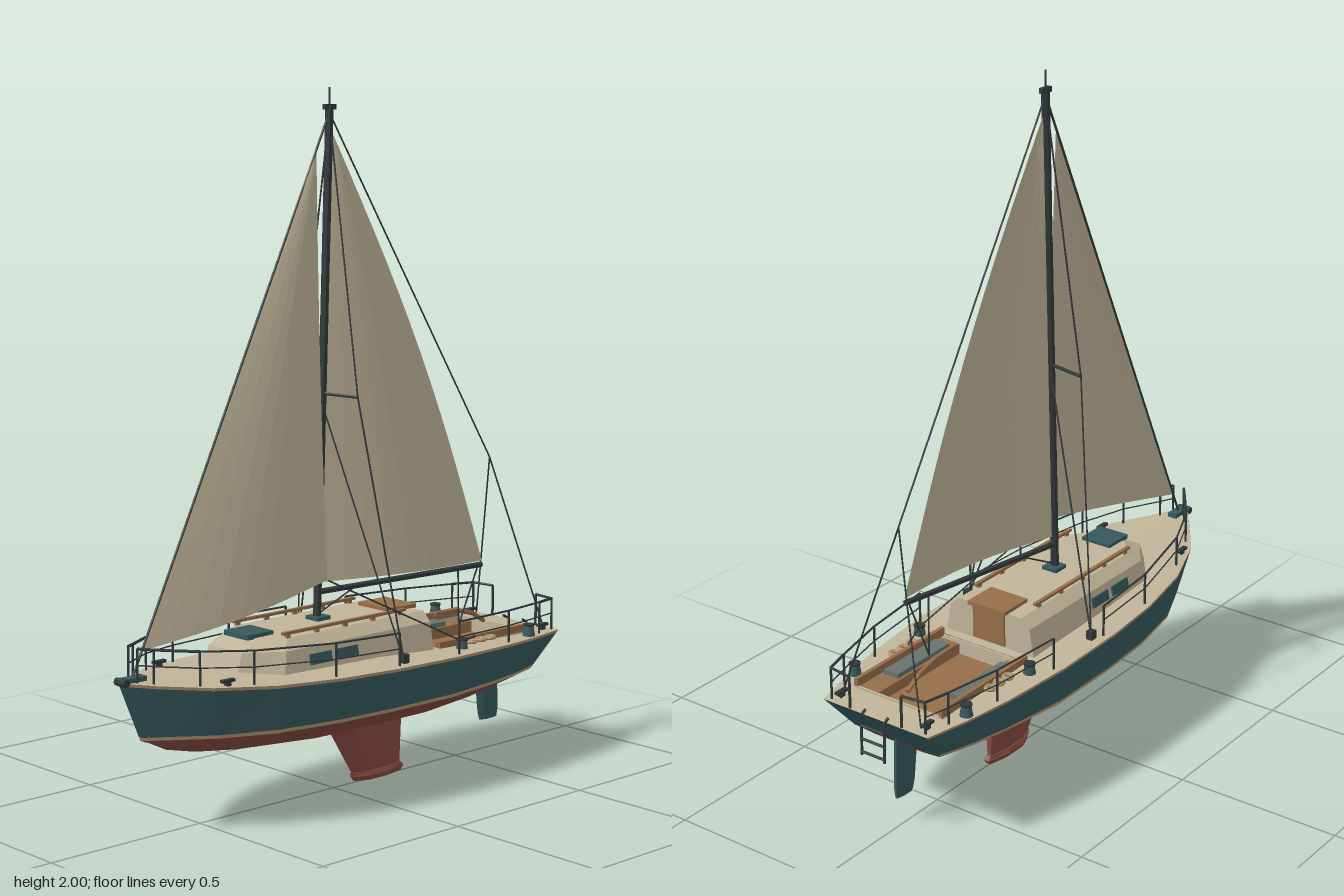
import * as THREE from 'three';

const mat = (name, color) =>
  new THREE.MeshStandardMaterial({ name, color, flatShading: true, side: THREE.DoubleSide });
const M = {
  teal: mat('teal paint', 0x35595d),
  red: mat('red bottom paint', 0x85493f),
  cream: mat('cream deck', 0xc0b498),
  sail: mat('sail cloth', 0xc0b498),
  wood: mat('teak', 0x966d49),
  trim: mat('trim stripe', 0xb09070),
  metal: mat('dark metal', 0x30383a),
  cushion: mat('cushion', 0x64736c),
};
const V = (x, y, z) => new THREE.Vector3(x, y, z);

// Stations, bow to stern: deck z, half width, height, then waterline z, half width, and keel height
const STATIONS = [
  [0.77, 0.006, 0.44, 0.70, 0.004, 0.262], [0.69, 0.065, 0.43, 0.635, 0.05, 0.23],
  [0.57, 0.15, 0.42, 0.53, 0.125, 0.205], [0.4, 0.212, 0.409, 0.38, 0.19, 0.184],
  [0.2, 0.247, 0.402, 0.19, 0.225, 0.17], [0, 0.26, 0.397, 0, 0.237, 0.17],
  [-0.25, 0.26, 0.393, -0.24, 0.238, 0.17], [-0.48, 0.24, 0.388, -0.44, 0.21, 0.184],
  [-0.62, 0.215, 0.384, -0.56, 0.185, 0.215], [-0.76, 0.18, 0.38, -0.67, 0.15, 0.25],
];
// Deck half width (k = 1) or height (k = 2) at z
function deckAt(z, k) {
  let i = 0;
  while (i < STATIONS.length - 2 && z < STATIONS[i + 1][0]) i++;
  const a = STATIONS[i], b = STATIONS[i + 1];
  return a[k] + (b[k] - a[k]) * THREE.MathUtils.clamp((z - a[0]) / (b[0] - a[0]), 0, 1);
}

// Surface through equal-length rows of points
function loft(rows, closed = false) {
  const n = rows[0].length, index = [];
  for (let i = 0; i < rows.length - 1; i++)
    for (let j = 0; j < (closed ? n : n - 1); j++) {
      const a = i * n + j, b = i * n + (j + 1) % n;
      index.push(a, b, a + n, b, b + n, a + n);
    }
  const g = new THREE.BufferGeometry().setFromPoints(rows.flat());
  g.setIndex(index);
  g.computeVertexNormals();
  return g;
}

export function createModel() {
  const root = new THREE.Group();
  root.name = 'sailboat';
  const add = (name, geo, m, x = 0, y = 0, z = 0) => {
    const mesh = new THREE.Mesh(geo, m);
    mesh.name = name;
    mesh.position.set(x, y, z);
    root.add(mesh);
    return mesh;
  };
  const box = (name, m, w, h, d, x, y, z) => add(name, new THREE.BoxGeometry(w, h, d), m, x, y, z);
  const line = (name, m, r, ...pts) => {
    for (let i = 0; i < pts.length - 1; i++) {
      const dir = pts[i + 1].clone().sub(pts[i]);
      const mesh = add(name, new THREE.CylinderGeometry(r, r, dir.length(), 6), m);
      mesh.position.copy(pts[i]).addScaledVector(dir, 0.5);
      mesh.quaternion.setFromUnitVectors(V(0, 1, 0), dir.normalize());
    }
  };

  // Hull bands: sheer trim, topsides, waterline stripe, bottom
  const level = (s, y, side) => {
    const t = (s[2] - y) / (s[2] - 0.27);
    return V(side * (s[1] + (s[4] - s[1]) * t), y, s[0] + (s[3] - s[0]) * t);
  };
  for (const side of [1, -1]) {
    const band = (name, m, top, low) =>
      add(name, loft([STATIONS.map(s => level(s, top(s), side)), STATIONS.map(s => level(s, low(s), side))]), m);
    band('sheerTrim', M.trim, s => s[2], s => s[2] - 0.009);
    band('topsides', M.teal, s => s[2] - 0.009, () => 0.28);
    band('waterlineStripe', M.trim, () => 0.28, () => 0.27);
    add('bottom', loft([
      STATIONS.map(s => level(s, 0.27, side)),
      STATIONS.map(s => V(side * s[4] * 0.57, s[5] + (0.27 - s[5]) * 0.38, s[3] * 0.985)),
      STATIONS.map(s => V(0, s[5], s[3] * 0.97)),
    ]), M.red);
  }
  const stern = STATIONS[STATIONS.length - 1];
  add('transom', loft([[level(stern, 0.38, -1), level(stern, 0.38, 1)], [level(stern, 0.27, -1), level(stern, 0.27, 1)]]), M.teal);
  add('transomBottom', loft([
    [level(stern, 0.27, -1), level(stern, 0.27, 1)], [V(-0.0855, 0.2576, -0.66), V(0.0855, 0.2576, -0.66)],
    [V(0, 0.25, -0.65), V(0, 0.25, -0.65)]]), M.red);

  // Deck with cockpit opening
  const edge = STATIONS.map(s => new THREE.Vector2(s[1], -s[0]));
  const deckShape = new THREE.Shape([...edge, ...edge.map(p => new THREE.Vector2(-p.x, p.y)).reverse()]);
  deckShape.holes.push(new THREE.Path([[-0.15, 0.28], [0.15, 0.28], [0.15, 0.66], [-0.15, 0.66]].map(p => new THREE.Vector2(...p))));
  const deck = new THREE.ShapeGeometry(deckShape).rotateX(-Math.PI / 2);
  const dp = deck.attributes.position;
  for (let i = 0; i < dp.count; i++) dp.setY(i, deckAt(dp.getZ(i), 2));
  add('deck', deck, M.cream);

  // Cockpit
  box('cockpitSole', M.wood, 0.3, 0.01, 0.38, 0, 0.34, -0.47);
  for (const z of [-0.28, -0.66]) box('cockpitEndWall', M.cream, 0.3, 0.05, 0.006, 0, 0.364, z);
  for (const s of [1, -1]) {
    box('cockpitSideWall', M.cream, 0.006, 0.05, 0.38, s * 0.151, 0.364, -0.47);
    box('coaming', M.wood, 0.012, 0.025, 0.385, s * 0.148, 0.398, -0.47);
    box('bench', M.wood, 0.06, 0.035, 0.375, s * 0.115, 0.36, -0.47);
    box('seatCushion', M.cushion, 0.05, 0.014, 0.23, s * 0.117, 0.385, -0.435);
    for (const z of [-0.47, -0.43, -0.39]) {
      const coil = add('ropeCoil', new THREE.TorusGeometry(0.013, 0.006, 6, 10), M.trim, s * 0.17, 0.4, z);
      coil.rotation.x = Math.PI / 2;
    }
    for (const z of [-0.61, -0.325]) {
      add('winch', new THREE.CylinderGeometry(0.014, 0.019, 0.03, 12), M.teal, s * 0.196, 0.402, z);
      add('winchCap', new THREE.CylinderGeometry(0.017, 0.017, 0.006, 12), M.metal, s * 0.196, 0.42, z);
    }
    for (const [x, z] of [[0.147, 0.52], [0.15, -0.72]]) {
      box('cleatFoot', M.metal, 0.012, 0.012, 0.016, s * x, deckAt(z, 2) + 0.006, z);
      box('cleatHorn', M.metal, 0.014, 0.008, 0.042, s * x, deckAt(z, 2) + 0.015, z);
    }
  }
  line('tiller', M.wood, 0.007, V(0, 0.4, -0.62), V(0, 0.43, -0.57), V(0, 0.45, -0.5), V(0, 0.452, -0.41));

  // Cabin
  const ring = (y, w, zs, wf, zf) => [[w, -0.25], [w, zs], [wf, zf], [-wf, zf], [-w, zs], [-w, -0.25]].map(p => V(p[0], y, p[1]));
  add('cabin', loft([ring(0.385, 0.156, 0.325, 0.076, 0.435), ring(0.475, 0.14, 0.305, 0.07, 0.405),
    ring(0.503, 0.11, 0.275, 0.06, 0.34), Array(6).fill(V(0, 0.507, 0.03))], true), M.cream);
  for (const s of [1, -1]) {
    for (const z of [0.085, 0.185]) box('cabinWindow', M.teal, 0.008, 0.03, 0.08, s * 0.147, 0.44, z).rotation.z = s * 0.176;
    box('handrail', M.wood, 0.011, 0.008, 0.47, s * 0.106, 0.516, 0.055);
    for (let i = 0; i < 5; i++) box('handrailFoot', M.wood, 0.009, 0.014, 0.014, s * 0.106, 0.506, -0.16 + i * 0.1075);
  }
  box('companionwayHatch', M.wood, 0.13, 0.012, 0.11, 0, 0.508, -0.212);
  box('companionwayDoor', M.wood, 0.11, 0.1, 0.008, 0, 0.45, -0.253);
  box('foredeckHatch', M.teal, 0.1, 0.014, 0.095, 0, 0.507, 0.32);
  box('mastStep', M.teal, 0.05, 0.014, 0.05, 0, 0.51, 0.06);

  // Keel with foot, and rudder
  const foil = (y, t, z0, z1) =>
    [[0, 0], [1, 0.25], [1, 0.65], [0.35, 1], [-0.35, 1], [-1, 0.65], [-1, 0.25]].map(p => V(p[0] * t, y, z0 + (z1 - z0) * p[1]));
  const cap = (y, z) => Array(7).fill(V(0, y, z));
  add('keel', loft([foil(0.19, 0.036, 0.03, -0.26), foil(0.03, 0.019, -0.07, -0.258)], true), M.red);
  add('keelFoot', loft([cap(0.03, -0.16), foil(0.03, 0.022, -0.065, -0.262), foil(0.018, 0.027, -0.066, -0.272),
    foil(0.003, 0.02, -0.08, -0.262), cap(0, -0.16)], true), M.red);
  add('rudder', loft([foil(0.3, 0.014, -0.575, -0.675), foil(0.12, 0.011, -0.597, -0.682),
    foil(0.092, 0.009, -0.605, -0.678), cap(0.092, -0.64)], true), M.teal);

  // Mast, boom and spreaders
  const mastAt = y => V(0, y, 0.065 - (y - 0.5) * 0.034);
  line('mast', M.metal, 0.012, mastAt(0.5), mastAt(1.95));
  line('mastheadAerial', M.metal, 0.0025, mastAt(1.95), V(0, 2, 0.016));
  box('mastheadCap', M.metal, 0.014, 0.015, 0.04, 0, 1.945, 0.016);
  line('boom', M.metal, 0.009, V(0, 0.585, 0.06), V(0.088, 0.6, -0.515));
  const masthead = mastAt(1.93);

  // Standing and running rigging
  line('forestay', M.metal, 0.0035, V(0, 0.44, 0.73), masthead);
  line('backstay', M.metal, 0.0025, masthead, V(0, 0.9, -0.64));
  for (const s of [1, -1]) {
    const plate = V(s * 0.222, 0.4, -0.065), tip = V(s * 0.12, 1.148, 0.02);
    line('spreader', M.metal, 0.005, mastAt(1.15), tip);
    line('upperShroud', M.metal, 0.0025, masthead, tip, plate);
    line('lowerShroud', M.metal, 0.0025, mastAt(1.12), plate);
    line('backstayLeg', M.metal, 0.0025, V(0, 0.9, -0.64), V(s * 0.14, 0.385, -0.735));
    box('chainplate', M.metal, 0.02, 0.03, 0.022, s * 0.222, 0.408, -0.065);
  }
  line('jibSheet', M.metal, 0.0025, V(0.065, 0.63, 0.08), V(0.196, 0.415, -0.325), V(0.16, 0.41, -0.42));
  line('mainSheet', M.metal, 0.0025, V(0.085, 0.6, -0.505), V(0.06, 0.42, -0.45), V(0.075, 0.597, -0.43));
  line('vang', M.metal, 0.0025, V(0.02, 0.588, -0.07), mastAt(0.52));

  // Sails
  const sail = (name, tack, head, clew, belly, roach, footDip) => {
    const rows = [];
    for (let i = 0; i <= 14; i++) {
      const v = i / 14, a = tack.clone().lerp(head, v), b = clew.clone().lerp(head, v);
      b.z -= roach * Math.sin(Math.PI * v);
      rows.push(Array.from({ length: 9 }, (_, j) => {
        const u = j / 8, p = a.clone().lerp(b, u), c = Math.sin(Math.PI * u);
        p.x += belly * c * Math.sqrt(1 - v);
        p.y -= footDip * c * (1 - v);
        return p;
      }));
    }
    add(name, loft(rows), M.sail);
  };
  sail('jib', V(0, 0.515, 0.695), V(0, 1.84, 0.065), V(0.065, 0.632, 0.085), 0.024, -0.006, 0.006);
  sail('mainsail', V(0, 0.612, 0.05), V(0, 1.88, 0.008), V(0.09, 0.612, -0.515), 0.03, 0.045, 0);

  // Bow rail, lifelines and stern rail
  const post = (s, z, h) => V(s * Math.max(deckAt(z, 1) - 0.02, 0.004), deckAt(z, 2) + h, z);
  for (const s of [1, -1]) {
    const runs = [[0.725, 0.69, 0.59, 0.45, 0.2, -0.03], [-0.27, -0.5, -0.67, -0.745]];
    for (const zs of runs) {
      for (const z of zs) line('stanchion', M.metal, 0.0035, post(s, z, 0), post(s, z, 0.095));
      for (const h of [0.095, 0.05]) line('lifeline', M.metal, h > 0.06 ? 0.003 : 0.002, ...zs.map(z => post(s, z, h)));
    }
    line('bowRail', M.metal, 0.004, ...[0.725, 0.69, 0.59].map(z => post(s, z, 0.095)));
    line('sternRail', M.metal, 0.004, ...[-0.67, -0.745].map(z => post(s, z, 0.095)), V(s * 0.09, 0.475, -0.755), V(s * 0.09, 0.38, -0.755));
    line('ladderSide', M.metal, 0.004, V(s * 0.04, 0.39, -0.75), V(s * 0.04, 0.38, -0.768), V(s * 0.04, 0.26, -0.77));
  }
  for (const y of [0.27, 0.31, 0.35]) line('ladderRung', M.metal, 0.004, V(-0.04, y, -0.77), V(0.04, y, -0.77));

  // Bow roller
  box('bowRoller', M.teal, 0.03, 0.014, 0.08, 0, 0.443, 0.73);
  const roller = add('bowRollerWheel', new THREE.CylinderGeometry(0.011, 0.011, 0.044, 10), M.metal, 0, 0.44, 0.762);
  roller.rotation.z = Math.PI / 2;
  return root;
}
